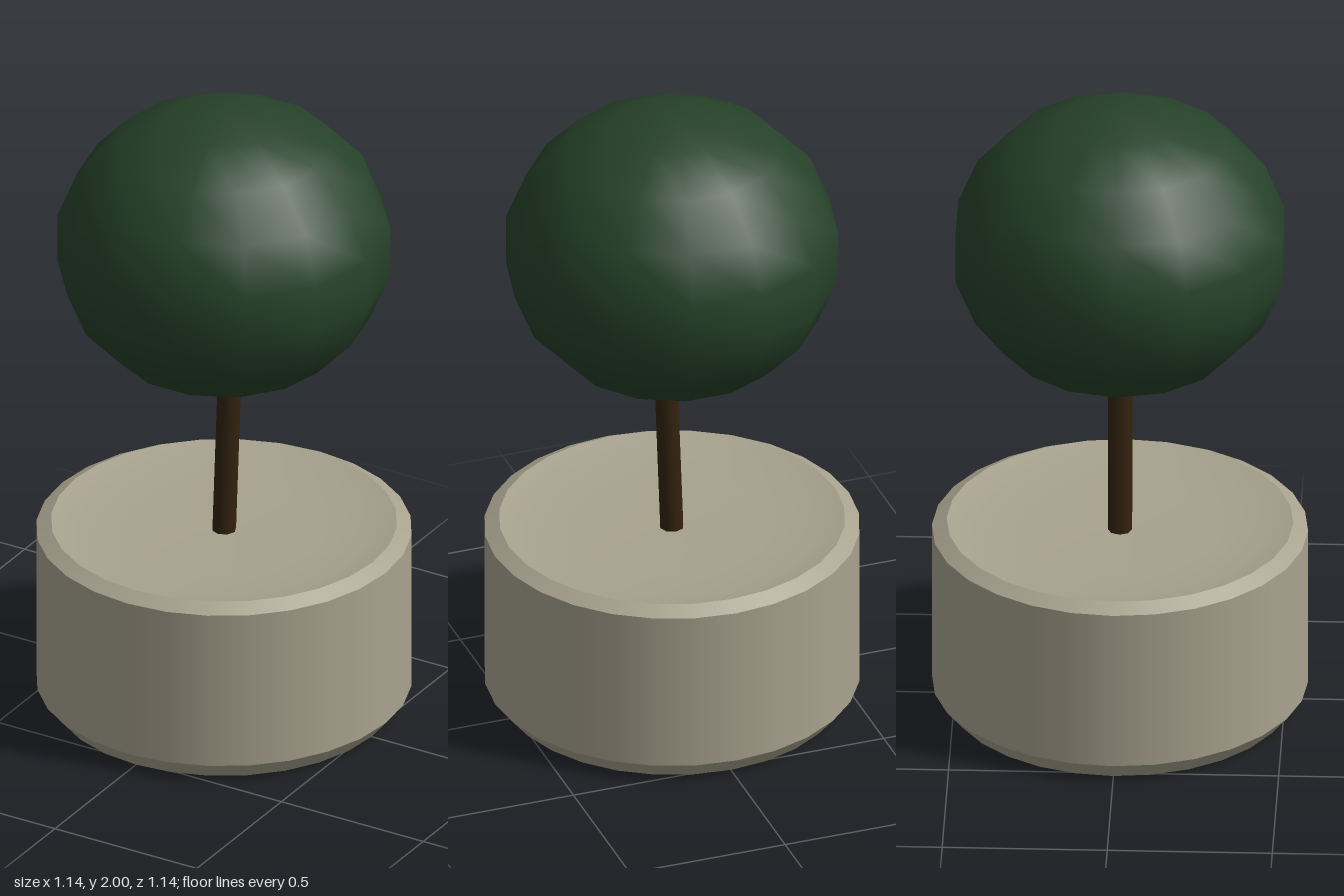
import * as THREE from 'three';

export function createModel() {
  const model = new THREE.Group();
  const stone = new THREE.MeshStandardMaterial({ name: 'stone', color: 0xa8a28e });
  const bark = new THREE.MeshStandardMaterial({ name: 'bark', color: 0x33230f });
  const leaf = new THREE.MeshStandardMaterial({ name: 'leafGreen', color: 0x264229 });

  const add = (name, geometry, material, parent = model) => {
    const mesh = new THREE.Mesh(geometry, material);
    mesh.name = name;
    parent.add(mesh);
    return mesh;
  };

  // Round planter: each section is its own lathe, so the rims between them stay sharp
  const planter = new THREE.Group();
  planter.name = 'planter';
  model.add(planter);
  const sections = {
    planterBase: [[0, 0], [0.52, 0]],
    planterFootBevel: [[0.52, 0], [0.57, 0.06]],
    planterWall: [[0.57, 0.06], [0.57, 0.575]],
    planterRimBevel: [[0.57, 0.575], [0.525, 0.6]],
    planterDish: [[0.525, 0.6], [0.45, 0.584], [0.3, 0.574], [0, 0.57]],
  };
  for (const [name, profile] of Object.entries(sections)) {
    const points = profile.map(([r, y]) => new THREE.Vector2(r, y));
    add(name, new THREE.LatheGeometry(points, 28), stone, planter);
  }

  // Slightly leaning trunk, running up into the foliage
  const trunkGeometry = new THREE.CylinderGeometry(0.037, 0.037, 0.75, 8);
  trunkGeometry.translate(0, 0.375, 0);
  const trunk = add('trunk', trunkGeometry, bark);
  trunk.position.y = 0.55;
  trunk.rotation.z = -0.036;

  // Clipped ball of foliage, a little flattened
  const foliage = add('foliage', new THREE.SphereGeometry(1, 14, 9), leaf);
  foliage.scale.set(0.513, 0.455, 0.515);
  foliage.position.y = 1.545;

  return model;
}
